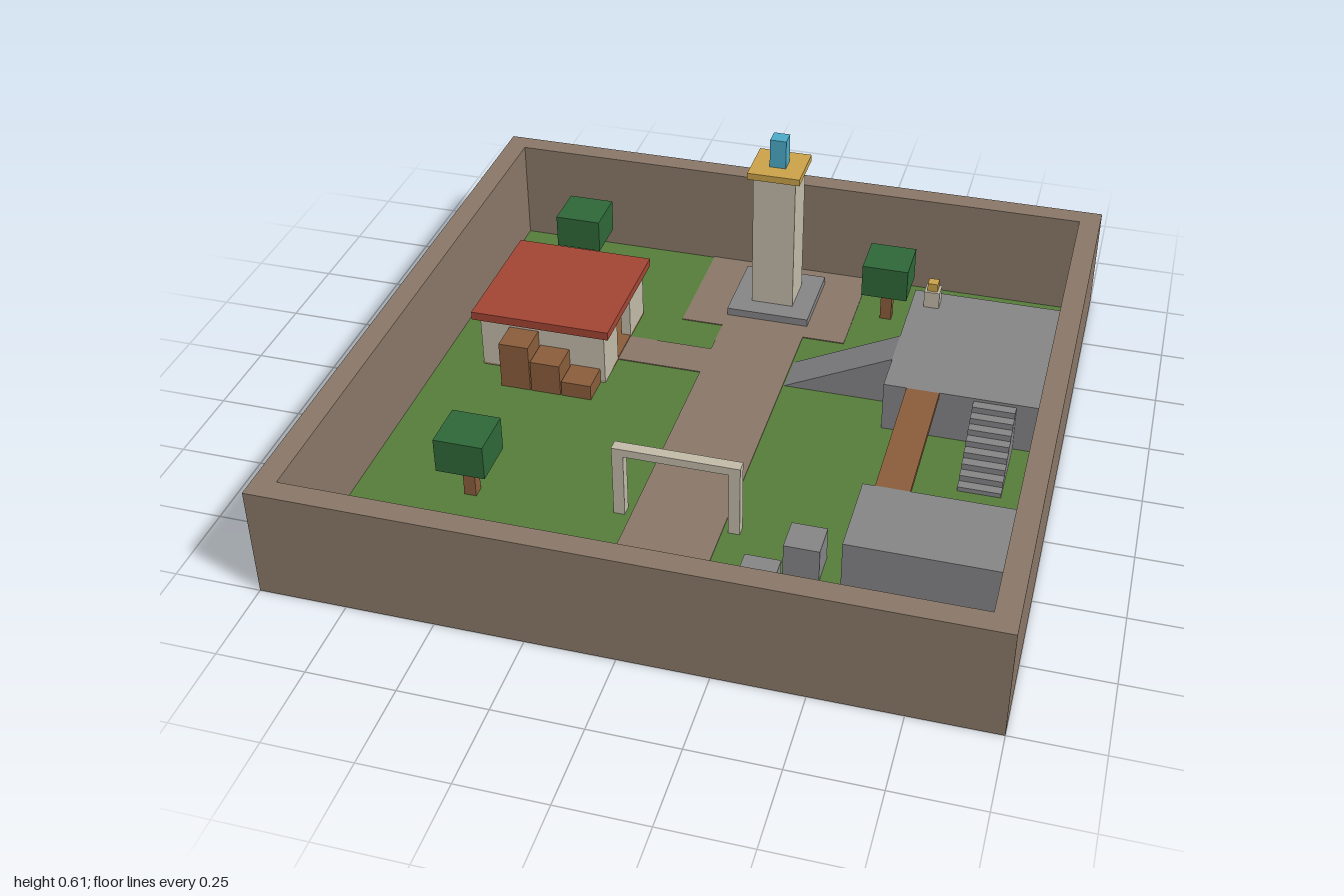
import * as THREE from 'three';

const mat = (name, color) => {
  const m = new THREE.MeshStandardMaterial({ color });
  m.name = name;
  return m;
};

export function createModel() {
  const root = new THREE.Group();
  root.name = 'walledCourtyard';
  const earth = mat('earth', 0x8a7868);
  const grass = mat('grass', 0x567d3a);
  const stone = mat('stone', 0x858587);
  const roofRed = mat('roofRed', 0xa34534);
  const leaf = mat('leaf', 0x2f6838);
  const wood = mat('wood', 0x8a5d3b);
  const gold = mat('gold', 0xcba24a);
  const blue = mat('crystalBlue', 0x4babc8);
  const plaster = mat('plaster', 0xc2bba9);

  // Box given by its extents on each axis
  const box = (name, m, x0, x1, y0, y1, z0, z1, parent = root) => {
    const b = new THREE.Mesh(new THREE.BoxGeometry(x1 - x0, y1 - y0, z1 - z0), m);
    b.position.set((x0 + x1) / 2, (y0 + y1) / 2, (z0 + z1) / 2);
    b.name = name;
    parent.add(b);
    return b;
  };
  // Square block centred on a point
  const block = (name, m, x, z, half, y0, y1, parent = root) =>
    box(name, m, x - half, x + half, y0, y1, z - half, z + half, parent);
  const group = (name) => {
    const g = new THREE.Group();
    g.name = name;
    root.add(g);
    return g;
  };
  const base = 0.003; // bottoms sit inside the ground plate

  // Ground and paths
  const I = 0.935;
  box('lawn', grass, -I, I, 0.001, 0.005, -I, I);
  box('mainPath', earth, -0.133, 0.133, 0, 0.008, -0.54, I);
  box('plaza', earth, -0.267, 0.267, 0, 0.008, -I, -0.54);
  box('housePath', earth, -0.4, -0.133, 0, 0.008, -0.4, -0.27);

  // Perimeter walls
  const H = 0.335;
  const walls = group('perimeterWalls');
  for (const s of [-1, 1]) {
    const a = s < 0 ? -1 : I, b = s < 0 ? -I : 1;
    box('endWall', earth, -1, 1, 0, H, a, b, walls);
    box('sideWall', earth, a, b, 0, H, -I, I, walls);
  }

  // Tower
  const tower = group('tower');
  const tz = -0.735;
  block('towerBase', stone, 0, tz, 0.133, base, 0.033, tower);
  block('towerShaft', plaster, 0, tz, 0.068, 0.033, 0.493, tower);
  block('towerCap', gold, 0, tz, 0.084, 0.493, 0.515, tower);
  block('towerCrystal', blue, 0, tz, 0.026, 0.515, 0.61, tower);

  // House with a doorway facing the main path
  const house = group('house');
  const hx0 = -0.8, hx1 = -0.4, hz0 = -0.54, hz1 = -0.14, t = 0.03, hy = 0.18;
  box('houseFloor', wood, hx0, hx1, 0, 0.012, hz0, hz1, house);
  box('houseBackWall', plaster, hx0, hx1, base, hy, hz0, hz0 + t, house);
  box('houseFrontWall', plaster, hx0, hx1, base, hy, hz1 - t, hz1, house);
  box('houseFarWall', plaster, hx0, hx0 + t, base, hy, hz0 + t, hz1 - t, house);
  box('doorWallBack', plaster, hx1 - t, hx1, base, hy, hz0 + t, -0.4, house);
  box('doorWallFront', plaster, hx1 - t, hx1, base, hy, -0.27, hz1 - t, house);
  box('doorLintel', plaster, hx1 - t, hx1, 0.15, hy, -0.4, -0.27, house);
  box('houseRoof', roofRed, -0.82, -0.38, hy, 0.207, -0.56, -0.12, house);

  // Crates stepping up beside the house
  [0.16, 0.11, 0.055].forEach((h, i) => {
    const x = -0.705 + i * 0.098;
    box('crate', wood, x, x + 0.094, base, h, -0.139, -0.043);
  });

  // Trees
  for (const [x, z] of [[-0.67, -0.768], [0.367, -0.735], [-0.602, 0.463]]) {
    const tree = group('tree');
    block('trunk', wood, x, z, 0.018, base, 0.12, tree);
    block('foliage', leaf, x, z, 0.073, 0.12, 0.228, tree);
  }

  // Gate across the path
  const gate = group('gate');
  for (const x of [-0.167, 0.167]) block('gatePost', plaster, x, 0.432, 0.0165, base, 0.21, gate);
  box('gateBeam', plaster, -0.184, 0.184, 0.21, 0.235, 0.415, 0.449, gate);

  // Raised stone platforms joined by a bridge
  const P = 0.165;
  box('largePlatform', stone, 0.467, I, base, P, -0.668, -0.138);
  box('smallPlatform', stone, 0.5, I, base, P, 0.333, 0.595);
  box('bridge', wood, 0.535, 0.633, P - 0.02, P, -0.138, 0.333);

  // Ramp up to the large platform
  const wedge = new THREE.Shape([[0.133, base], [0.467, base], [0.467, P]].map(p => new THREE.Vector2(...p)));
  const ramp = new THREE.Mesh(new THREE.ExtrudeGeometry(wedge, { depth: 0.13, bevelEnabled: false }), stone);
  ramp.position.z = -0.4;
  ramp.name = 'ramp';
  root.add(ramp);

  // Stairs down the front of the large platform
  const steps = 8, run = 0.236 / steps;
  const stairs = group('stairs');
  for (let i = 0; i < steps; i++) {
    const z = -0.138 + i * run;
    box('step', stone, 0.734, 0.86, base, P * (steps - i) / (steps + 0.5), z, z + run, stairs);
  }

  // Stepping blocks by the small platform
  box('tallSteppingBlock', stone, 0.337, 0.438, base, 0.11, 0.48, 0.58);
  box('lowSteppingBlock', stone, 0.232, 0.334, base, 0.06, 0.583, 0.68);

  // Small shrine on the large platform
  const shrine = group('shrine');
  block('shrineBody', plaster, 0.531, -0.603, 0.024, P, 0.22, shrine);
  block('shrineTop', gold, 0.531, -0.603, 0.016, 0.22, 0.247, shrine);

  return root;
}
